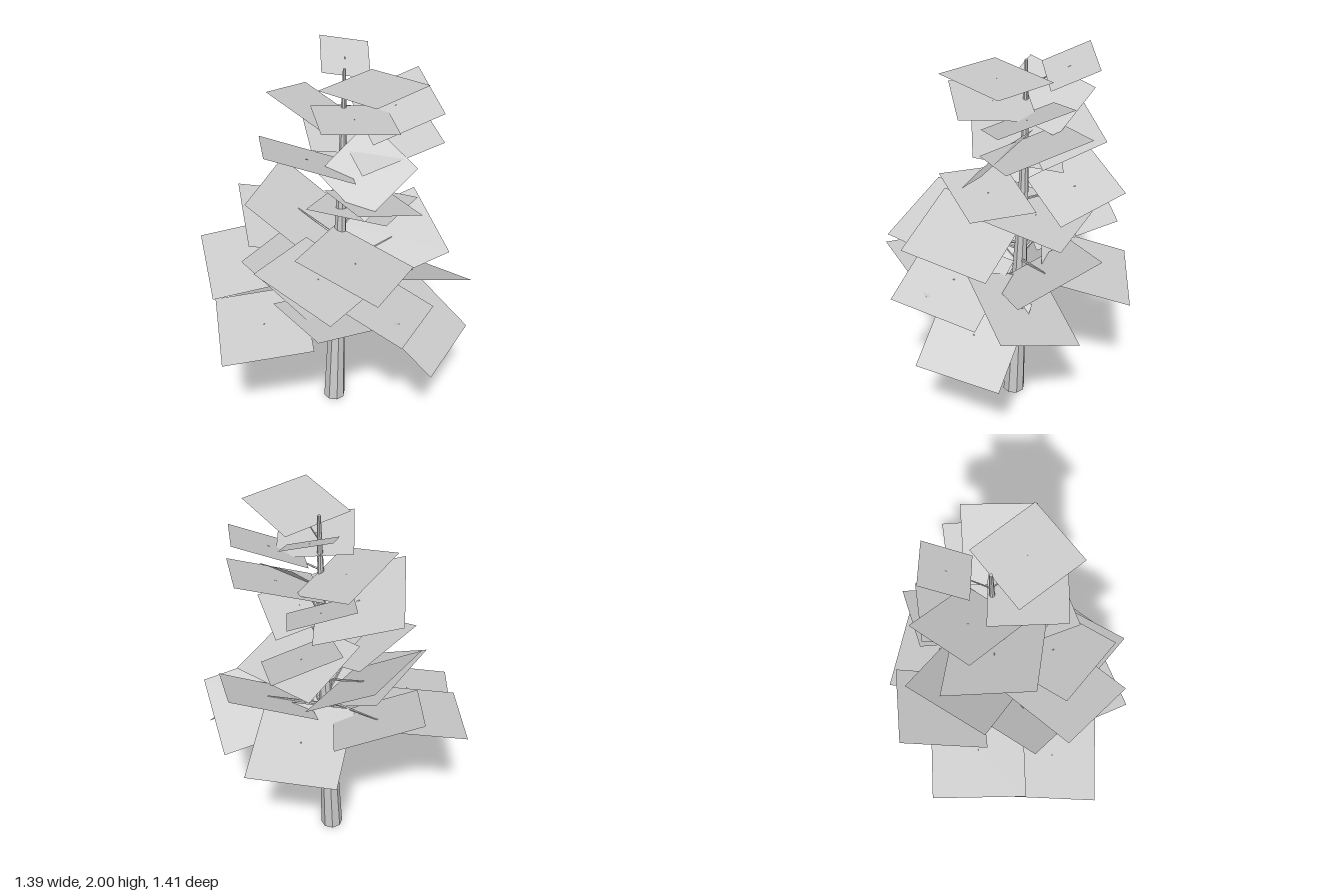
import * as THREE from 'three';

const grey = new THREE.MeshStandardMaterial({ color: 0xcccccc, flatShading: true });
const leafGrey = new THREE.MeshStandardMaterial({ color: 0xcccccc, side: THREE.DoubleSide });
const rad = THREE.MathUtils.degToRad;

// The trunk leans slightly backwards, most of it in the lower half
const trunkAxis = new THREE.CatmullRomCurve3([
  new THREE.Vector3(0.033, 0, -0.065),
  new THREE.Vector3(0.033, 0.65, -0.09),
  new THREE.Vector3(0.035, 1.3, -0.115),
  new THREE.Vector3(0.037, 1.96, -0.125),
]);
const trunkAt = (y) => trunkAxis.getPoint(Math.min(1, Math.max(0, y / 1.96)));

// Foliage sheets: x, y, z, size, yaw, pitch, roll (degrees)
const upperSheets = [
  [0.22, 1.93, -0.075, 0.36, -14, -2, 6],
  [-0.06, 1.93, -0.30, 0.24, 33, 23, -12],
  [0.155, 1.78, -0.015, 0.36, 39, -6, -4],
  [-0.125, 1.72, -0.13, 0.365, 0, -15, -19],
  [0.25, 1.78, -0.245, 0.36, -47, 20, -14],
  [0.20, 1.62, -0.26, 0.42, -43, 16, -13],
  [-0.085, 1.56, -0.26, 0.325, 43, 20, -13],
  [0.205, 1.505, -0.055, 0.35, -34, 39, -26],
  [-0.10, 1.505, 0, 0.45, 37, -15, -19],
  [-0.04, 1.33, -0.355, 0.35, 52, 18, -15],
  [0.25, 1.35, -0.04, 0.35, -34, -14, 8],
];
const lowerSheets = [
  [0.10, 1.20, -0.22, 0.43, 5, -10, 3],
  [-0.21, 1.135, -0.10, 0.45, 8, 4, -34],
  [0.24, 1.07, 0.10, 0.455, 5, -8, -15],
  [0.12, 1.03, 0.255, 0.455, -2, -6, -15],
  [-0.34, 1.0, -0.155, 0.44, 41, 16, -16],
  [0.215, 0.97, -0.335, 0.45, -44, 19, -20],
  [-0.06, 0.93, 0.15, 0.455, 4, -9, -29],
  [-0.37, 0.90, 0.11, 0.47, 43, 10, 8],
  [0.37, 0.88, 0.09, 0.45, 6, -8, -19],
  [-0.07, 0.87, -0.41, 0.455, 28, -18, -2],
  [0.21, 0.845, 0.235, 0.455, 61, -9, -8],
  [0.35, 0.83, -0.285, 0.46, -38, -15, 22],
  [-0.115, 0.75, 0.39, 0.45, 39, 9, 6],
  [0.50, 0.70, -0.10, 0.455, 2, 1, -38],
];

// Eight-sided tapering trunk, bent along its axis
function makeTrunk() {
  const geo = new THREE.CylinderGeometry(1, 1, 1.96, 8, 12).translate(0, 0.98, 0);
  const p = geo.attributes.position;
  for (let i = 0; i < p.count; i++) {
    const y = p.getY(i);
    const c = trunkAt(y);
    const r = 0.058 - 0.05 * (y / 1.96);
    p.setXYZ(i, c.x + p.getX(i) * r, y, c.z + p.getZ(i) * r);
  }
  geo.computeVertexNormals();
  const mesh = new THREE.Mesh(geo, grey);
  mesh.name = 'trunk';
  return mesh;
}

// Thin tapering twig from the trunk to the middle of a sheet
function makeBranch(end) {
  const start = trunkAt(Math.max(0.68, end.y - 0.1));
  const dir = end.clone().sub(start);
  const r = 0.014 - 0.005 * end.y;
  const geo = new THREE.CylinderGeometry(r * 0.4, r, dir.length(), 5);
  const mesh = new THREE.Mesh(geo, grey);
  mesh.position.copy(start).addScaledVector(dir, 0.5);
  mesh.quaternion.setFromUnitVectors(new THREE.Vector3(0, 1, 0), dir.normalize());
  mesh.name = 'branch';
  return mesh;
}

// Flat square sheet of foliage
function makeSheet([x, y, z, size, yaw, pitch, roll]) {
  const geo = new THREE.PlaneGeometry(size, size).rotateX(-Math.PI / 2);
  const mesh = new THREE.Mesh(geo, leafGrey);
  mesh.position.set(x, y, z);
  mesh.rotation.set(rad(pitch), rad(yaw), rad(roll), 'YXZ');
  mesh.name = 'foliageSheet';
  return mesh;
}

export function createModel() {
  const tree = new THREE.Group();
  tree.name = 'tree';
  const branches = new THREE.Group();
  branches.name = 'branches';
  const foliage = new THREE.Group();
  foliage.name = 'foliage';
  for (const sheet of [...upperSheets, ...lowerSheets]) {
    const leaf = makeSheet(sheet);
    foliage.add(leaf);
    branches.add(makeBranch(leaf.position));
  }
  tree.add(makeTrunk(), branches, foliage);
  return tree;
}
